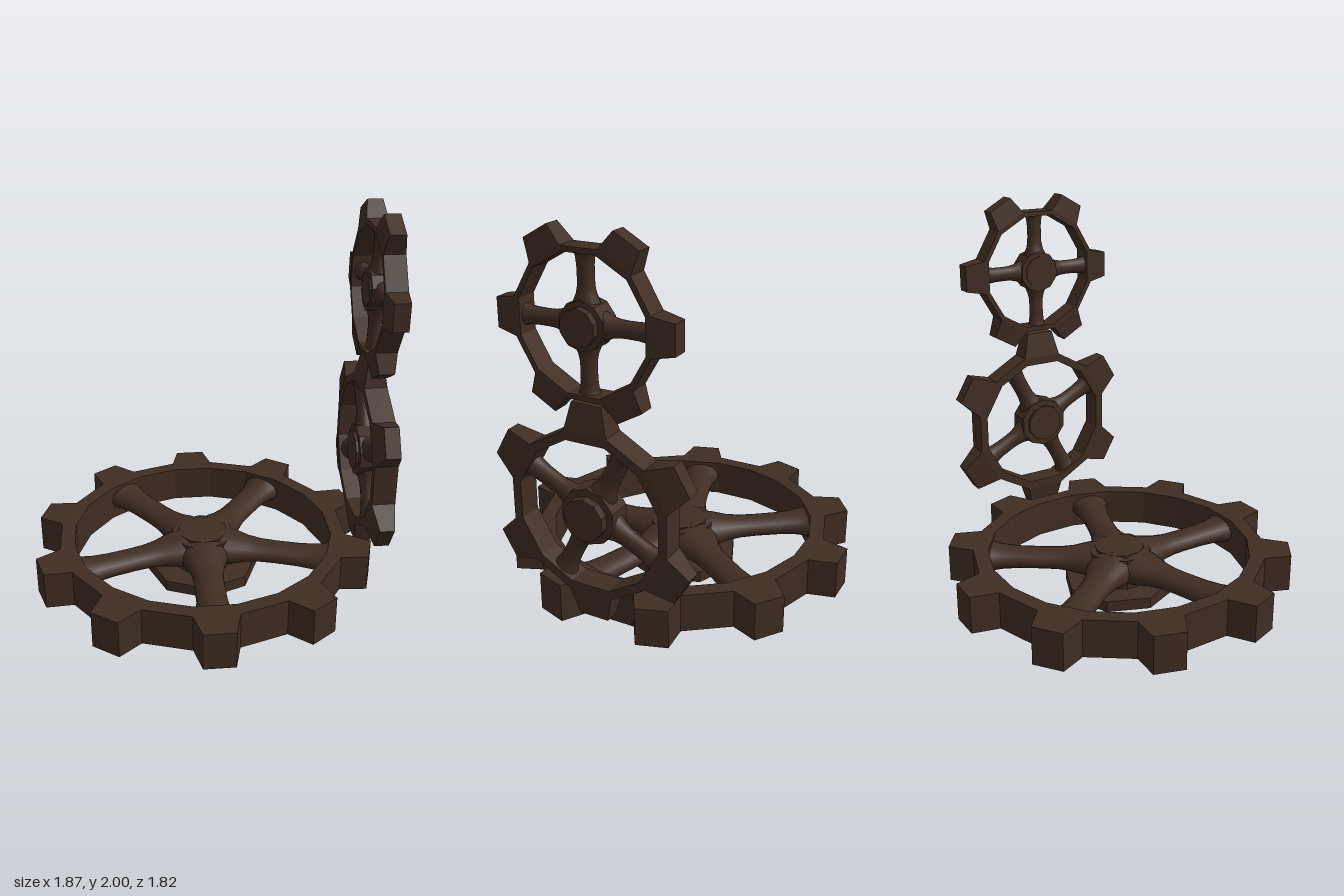
import * as THREE from 'three';

const bronze = new THREE.MeshStandardMaterial({ color: 0x3f2d22 });
bronze.name = 'dark bronze';

function part(name, geometry) {
  const mesh = new THREE.Mesh(geometry, bronze);
  mesh.name = name;
  return mesh;
}

// Faceted cylinder along z, with a corner on the +y axis
function prism(radius, z0, z1, sides) {
  const g = new THREE.CylinderGeometry(radius, radius, z1 - z0, sides).toNonIndexed();
  g.computeVertexNormals();
  g.rotateX(Math.PI / 2);
  g.translate(0, 0, (z0 + z1) / 2);
  return g;
}

// Ring corners: two per tooth, at radial distance r and half width w
function ringPoints(teeth, start, r, w) {
  const pts = [];
  for (let i = 0; i < teeth; i++) {
    const a = start + (i / teeth) * Math.PI * 2;
    for (const s of [-1, 1]) {
      pts.push(new THREE.Vector2(
        Math.cos(a) * r - Math.sin(a) * w * s,
        Math.sin(a) * r + Math.cos(a) * w * s));
    }
  }
  return pts;
}

// Tooth pointing along +x, narrowing in width and thickness towards the tip
function toothGeometry({ outer, tip, baseW, tipW, half, tipHalf }) {
  const shape = new THREE.Shape([
    new THREE.Vector2(outer, -baseW), new THREE.Vector2(tip, -tipW),
    new THREE.Vector2(tip, tipW), new THREE.Vector2(outer, baseW)]);
  const g = new THREE.ExtrudeGeometry(shape, { depth: half * 2, bevelEnabled: false });
  g.translate(0, 0, -half);
  const p = g.attributes.position;
  for (let i = 0; i < p.count; i++) {
    if (p.getX(i) > tip - 0.001) p.setZ(i, Math.sign(p.getZ(i)) * tipHalf);
  }
  g.computeVertexNormals();
  return g;
}

// Round spoke along +x, flared where it meets hub and rim
function spokeGeometry({ hub, inner, spokeW, flat }) {
  const a = hub * 0.6, b = inner + 0.015, L = b - a;
  const profile = [[0, 1.7], [0.12, 1.5], [0.24, 1.18], [0.36, 1.02], [0.5, 0.98],
    [0.72, 1], [0.86, 1.1], [0.94, 1.24], [1, 1.42]];
  const g = new THREE.LatheGeometry(
    profile.map(([t, r]) => new THREE.Vector2(r * spokeW, a + t * L)), 20);
  g.scale(1, 1, flat);
  g.rotateZ(-Math.PI / 2);
  return g;
}

// Whole gear in the xy plane with its axle along z
function gear(name, o) {
  const group = new THREE.Group();
  group.name = name;

  const ring = new THREE.Shape(ringPoints(o.teeth, o.start, o.outer, o.baseW));
  ring.holes.push(new THREE.Path(ringPoints(o.teeth, o.start, o.inner, o.innerW).reverse()));
  const rim = new THREE.ExtrudeGeometry(ring, { depth: o.half * 2, bevelEnabled: false });
  rim.translate(0, 0, -o.half);
  group.add(part('rim', rim));

  const tooth = toothGeometry(o);
  for (let i = 0; i < o.teeth; i++) {
    const mesh = part('tooth', tooth);
    mesh.rotation.z = o.start + (i / o.teeth) * Math.PI * 2;
    group.add(mesh);
  }

  const spoke = spokeGeometry(o);
  for (let i = 0; i < o.spokes; i++) {
    const mesh = part('spoke', spoke);
    mesh.rotation.z = o.spokeStart + (i / o.spokes) * Math.PI * 2;
    mesh.position.z = o.spokeZ || 0;
    group.add(mesh);
  }

  group.add(part('hub', prism(o.hub, -o.hubHalf, o.hubHalf, 10)));
  group.add(part('axle', prism(o.axle, o.axleZ[0], o.axleZ[1], 10)));
  return group;
}

export function createModel() {
  const model = new THREE.Group();
  model.name = 'gearTrain';
  const up = Math.PI / 2;

  // Large gear lying flat
  const large = gear('largeGear', {
    teeth: 10, start: up, outer: 0.77, inner: 0.69, baseW: 0.115, innerW: 0.108,
    tip: 0.91, tipW: 0.08, half: 0.1, tipHalf: 0.1,
    spokes: 5, spokeStart: -up, spokeW: 0.08, flat: 0.68, spokeZ: 0.01,
    hub: 0.17, hubHalf: 0.085, axle: 0.135, axleZ: [-0.1, 0.098],
  });
  large.rotation.x = -up;
  large.position.set(-0.05, 0.14, 0);
  // Octagonal foot under the hub
  large.add(part('foot', prism(0.3, -0.14, -0.08, 8)));
  model.add(large);

  // Middle gear standing upright, meshing with the large one
  const middle = gear('middleGear', {
    teeth: 6, start: up, outer: 0.404, inner: 0.36, baseW: 0.11, innerW: 0.1,
    tip: 0.54, tipW: 0.077, half: 0.06, tipHalf: 0.038,
    spokes: 4, spokeStart: up - 0.47, spokeW: 0.046, flat: 0.85,
    hub: 0.14, hubHalf: 0.06, axle: 0.105, axleZ: [-0.075, 0.1],
  });
  middle.rotation.y = up;
  middle.position.set(0.83, 0.69, 0);
  model.add(middle);

  // Small gear on top
  const small = gear('smallGear', {
    teeth: 6, start: 0, outer: 0.335, inner: 0.31, baseW: 0.09, innerW: 0.083,
    tip: 0.44, tipW: 0.07, half: 0.055, tipHalf: 0.04,
    spokes: 4, spokeStart: 0, spokeW: 0.04, flat: 0.85,
    hub: 0.113, hubHalf: 0.054, axle: 0.087, axleZ: [-0.06, 0.087],
  });
  small.rotation.y = up;
  small.position.set(0.83, 1.585, 0);
  model.add(small);

  return model;
}
